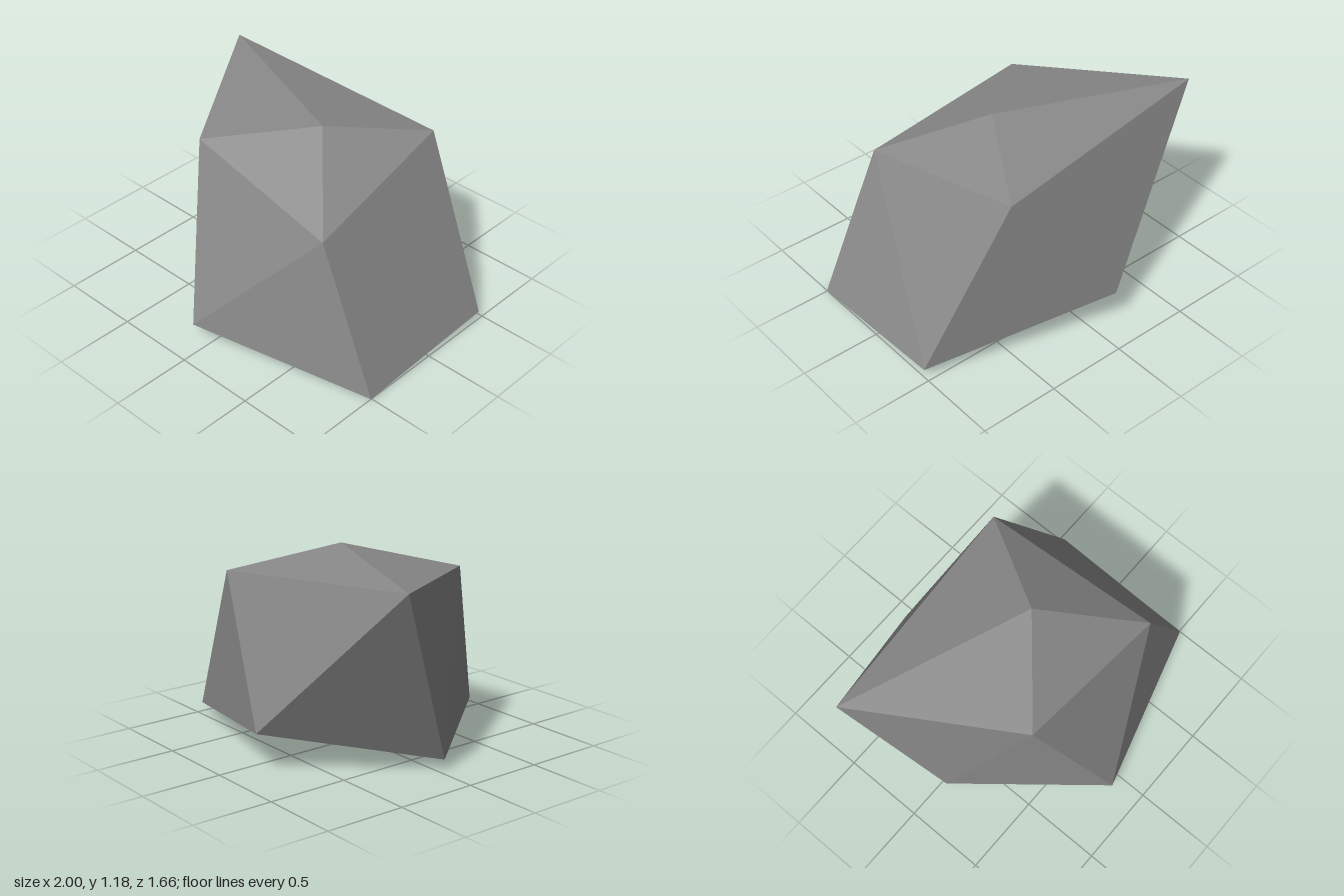
import * as THREE from 'three';
import { ConvexGeometry } from 'three/addons/geometries/ConvexGeometry.js';

export function createModel() {
  const group = new THREE.Group();
  group.name = 'rock';

  const stone = new THREE.MeshStandardMaterial({ color: 0x888888 });
  stone.name = 'stone grey';

  // Corners of the faceted boulder: upper ring and peak, then lower ring
  const corners = [
    [-1, 1.17, -0.465], [-0.405, 1.075, 0.44], [0.13, 1.185, -0.02],
    [0.475, 1.04, -0.6], [0.605, 0.875, 0.485],
    [1, 0, 0.505], [1, 0.057, -0.463], [-0.1, 0.105, 0.83],
    [-0.74, 0.065, 0.04], [-0.125, 0.243, -0.83],
  ].map((p) => new THREE.Vector3(...p));

  // Flat facets wrapped around the corners
  const boulder = new THREE.Mesh(new ConvexGeometry(corners), stone);
  boulder.name = 'boulder';
  group.add(boulder);
  return group;
}
